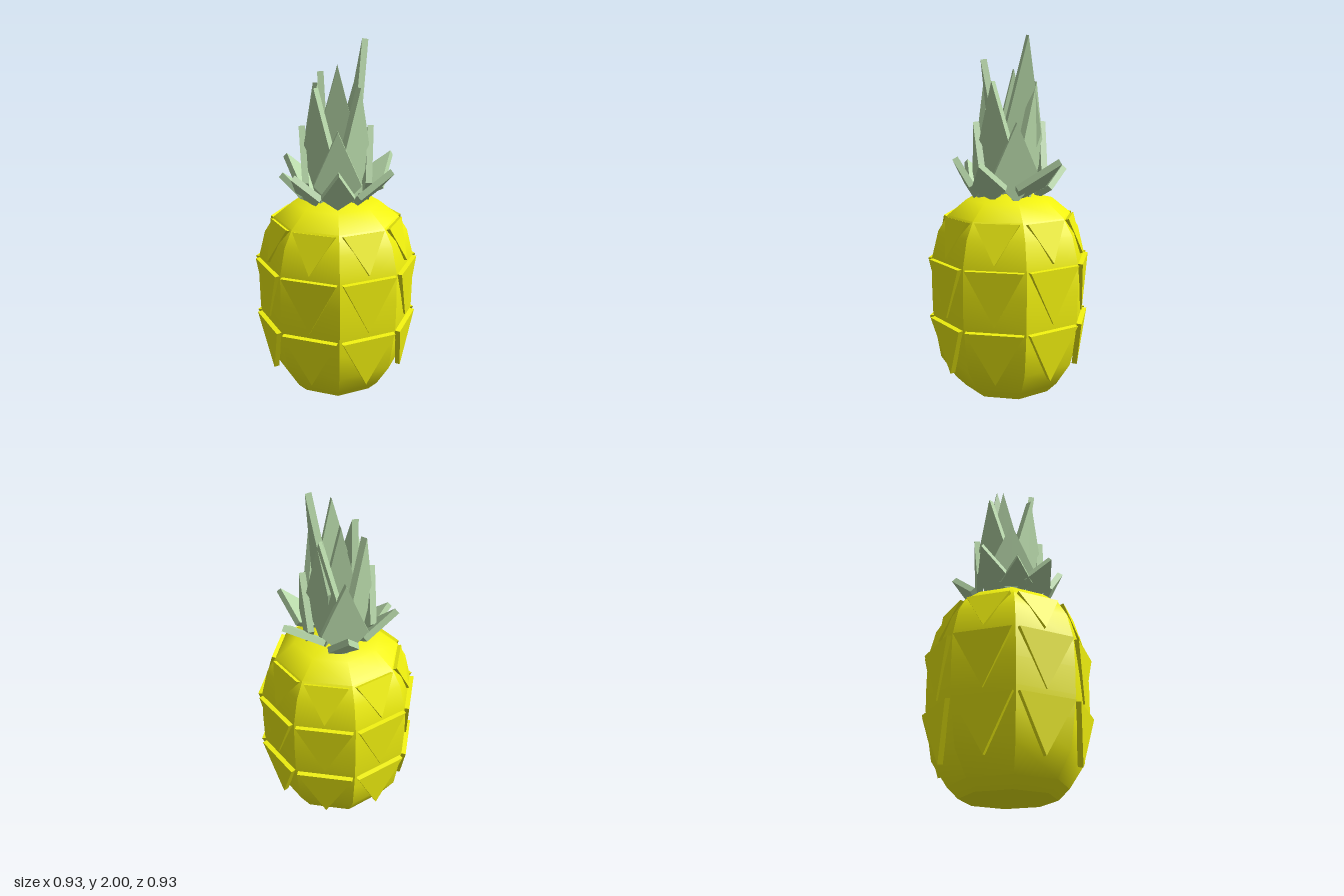
import * as THREE from 'three';
import { toCreasedNormals } from 'three/addons/utils/BufferGeometryUtils.js';

const V = (x, y, z) => new THREE.Vector3(x, y, z);
const yellow = new THREE.MeshStandardMaterial({ color: 0xf1f10f });
const green = new THREE.MeshStandardMaterial({ color: 0xb6d7a8 });

// Flat plate: outline running from "from" (y = 0) towards "to", facing the given angle around y
function plate(name, outline, from, to, angle, thickness, material) {
  const shape = new THREE.Shape(outline.map(([x, y]) => new THREE.Vector2(x, y)));
  const geo = new THREE.ExtrudeGeometry(shape, { depth: thickness, bevelEnabled: false });
  geo.translate(0, 0, -thickness / 2);
  const up = to.clone().sub(from).normalize();
  const side = up.clone().cross(V(Math.sin(angle), 0, Math.cos(angle))).normalize();
  const normal = side.clone().cross(up);
  geo.applyMatrix4(new THREE.Matrix4().makeBasis(side, up, normal).setPosition(from));
  const mesh = new THREE.Mesh(geo, material);
  mesh.name = name;
  return mesh;
}

// Kite-shaped leaf from its base point to its tip
function leaf(name, base, tip, halfWidth, shoulder, angle) {
  const from = V(...base), to = V(...tip);
  const len = from.distanceTo(to);
  const kite = [[0, 0], [halfWidth, len * shoulder], [0, len], [-halfWidth, len * shoulder]];
  return plate(name, kite, from, to, angle, 0.035, green);
}

export function createModel() {
  const model = new THREE.Group();
  model.name = 'pineapple';

  // Eight-sided fruit body
  const profile = [[0, 0], [0.26, 0], [0.32, 0.06], [0.405, 0.19], [0.432, 0.35], [0.447, 0.47],
    [0.45, 0.62], [0.447, 0.78], [0.41, 0.93], [0.355, 1.02], [0.25, 1.105], [0.1, 1.13], [0, 1.13]];
  const bodyGeo = new THREE.LatheGeometry(profile.map(([r, y]) => new THREE.Vector2(r, y)), 8);
  const body = new THREE.Mesh(toCreasedNormals(bodyGeo, 0.62), yellow);
  body.name = 'fruitBody';
  model.add(body);

  // Three rows of triangular scales, pointing down
  const rows = [
    { top: 0.435, topR: 0.422, tip: 0.14, tipR: 0.385, half: 0.16 },
    { top: 0.775, topR: 0.424, tip: 0.47, tipR: 0.408, half: 0.16 },
    { top: 1.012, topR: 0.34, tip: 0.8, tipR: 0.41, half: 0.122 },
  ];
  const scales = new THREE.Group();
  scales.name = 'scales';
  for (const { top, topR, tip, tipR, half } of rows) {
    for (let i = 0; i < 8; i++) {
      const a = (i + 0.5) * Math.PI / 4;
      const at = (r, y) => V(r * Math.sin(a), y, r * Math.cos(a));
      const from = at(tipR, tip), to = at(topR, top);
      const len = from.distanceTo(to);
      scales.add(plate('scale', [[0, 0], [half, len], [-half, len]], from, to, a, 0.03, yellow));
    }
  }
  model.add(scales);

  const crown = new THREE.Group();
  crown.name = 'crown';

  // Short splayed outer leaves: base, tip, half width
  const outer = [
    [[0, 1.12, 0.19], [0, 1.34, 0.31], 0.09],
    [[0.1, 1.12, 0.11], [0.29, 1.33, 0.22], 0.1],
    [[0.11, 1.12, -0.02], [0.335, 1.34, -0.205], 0.12],
    [[0.015, 1.12, -0.16], [0.015, 1.28, -0.32], 0.085],
    [[-0.1, 1.12, -0.06], [-0.29, 1.34, -0.17], 0.1],
    [[-0.13, 1.12, 0.03], [-0.31, 1.27, 0.025], 0.09],
    [[-0.11, 1.12, 0.11], [-0.24, 1.3, 0.215], 0.1],
  ];
  for (const [b, t, w] of outer) {
    crown.add(leaf('outerLeaf', b, t, w, 0.33, Math.atan2(t[0] - b[0], t[2] - b[2])));
  }

  // Upright middle leaves facing the four sides, and taller ones on the diagonals
  for (let i = 0; i < 4; i++) {
    const a = i * Math.PI / 2, d = a + Math.PI / 4;
    const ring = (r, y, t) => [r * Math.sin(t), y, r * Math.cos(t)];
    crown.add(leaf('middleLeaf', ring(0.165, 1.1, a), ring(0.19, 1.54, a), 0.13, 0.33, a));
    crown.add(leaf('diagonalLeaf', ring(0.12, 1.1, d), ring(0.16, 1.76, d), 0.11, 0.45, d));
  }

  // Tall inner leaves: base, tip, half width, facing
  const inner = [
    [[0, 1.1, 0.03], [0, 1.88, 0.145], 0.12, 0],
    [[0.04, 1.1, -0.04], [0.16, 2.0, -0.065], 0.11, 1.75],
    [[0, 1.1, -0.06], [0.01, 1.83, -0.11], 0.1, Math.PI],
    [[-0.05, 1.1, -0.02], [-0.085, 1.83, -0.04], 0.1, -Math.PI / 2],
  ];
  for (const [b, t, w, a] of inner) crown.add(leaf('innerLeaf', b, t, w, 0.42, a));
  model.add(crown);

  return model;
}
